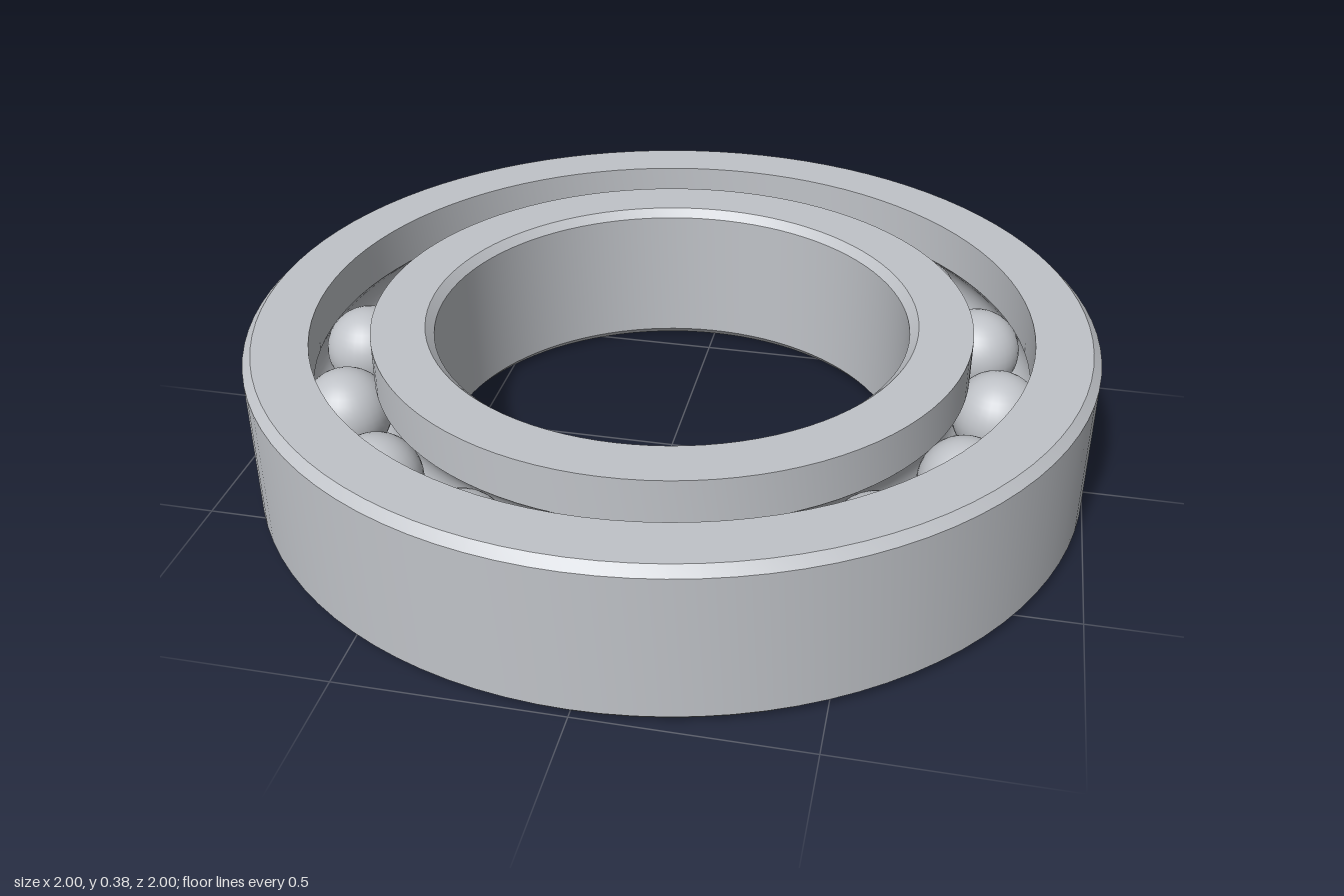
import * as THREE from 'three';
import { toCreasedNormals } from 'three/addons/utils/BufferGeometryUtils.js';

const HEIGHT = 0.38, MID = HEIGHT / 2, CHAMFER = 0.02;
const PITCH = 0.78, BALL_RADIUS = 0.105, GROOVE = 0.107, BALLS = 16;

// Points of the ball groove cut into a race wall; side is +1 for the outer race.
function groove(wall, side) {
  const half = Math.acos(Math.abs(wall - PITCH) / GROOVE);
  const points = [];
  for (let i = 0; i <= 12; i++) {
    const a = half - (2 * half * i) / 12;
    points.push([PITCH + side * GROOVE * Math.cos(a), MID + side * GROOVE * Math.sin(a)]);
  }
  return points;
}

// Closed cross-section, counterclockwise, spun around y.
function race(name, profile, material) {
  const points = [...profile, profile[0]].map(([x, y]) => new THREE.Vector2(x, y));
  const mesh = new THREE.Mesh(toCreasedNormals(new THREE.LatheGeometry(points, 96), 0.5), material);
  mesh.name = name;
  return mesh;
}

export function createModel() {
  const group = new THREE.Group();
  group.name = 'ballBearing';
  const steel = new THREE.MeshStandardMaterial({ color: 0xc0c3c8 });
  steel.name = 'steel';

  // Outer race: chamfered outside, grooved inside
  group.add(race('outerRace', [
    [0.85, 0], [1 - CHAMFER, 0], [1, CHAMFER], [1, HEIGHT - CHAMFER],
    [1 - CHAMFER, HEIGHT], [0.85, HEIGHT], ...groove(0.85, 1),
  ], steel));

  // Inner race: chamfered bore, grooved outside
  const bore = 0.563;
  group.add(race('innerRace', [
    [bore + CHAMFER, 0], [0.71, 0], ...groove(0.71, -1), [0.71, HEIGHT],
    [bore + CHAMFER, HEIGHT], [bore, HEIGHT - CHAMFER], [bore, CHAMFER],
  ], steel));

  // Ring of balls
  const balls = new THREE.Group();
  balls.name = 'balls';
  const ballGeometry = new THREE.SphereGeometry(BALL_RADIUS, 32, 20);
  for (let i = 0; i < BALLS; i++) {
    const a = (i / BALLS) * Math.PI * 2;
    const ball = new THREE.Mesh(ballGeometry, steel);
    ball.name = 'ball';
    ball.position.set(PITCH * Math.cos(a), MID, PITCH * Math.sin(a));
    balls.add(ball);
  }
  group.add(balls);
  return group;
}
